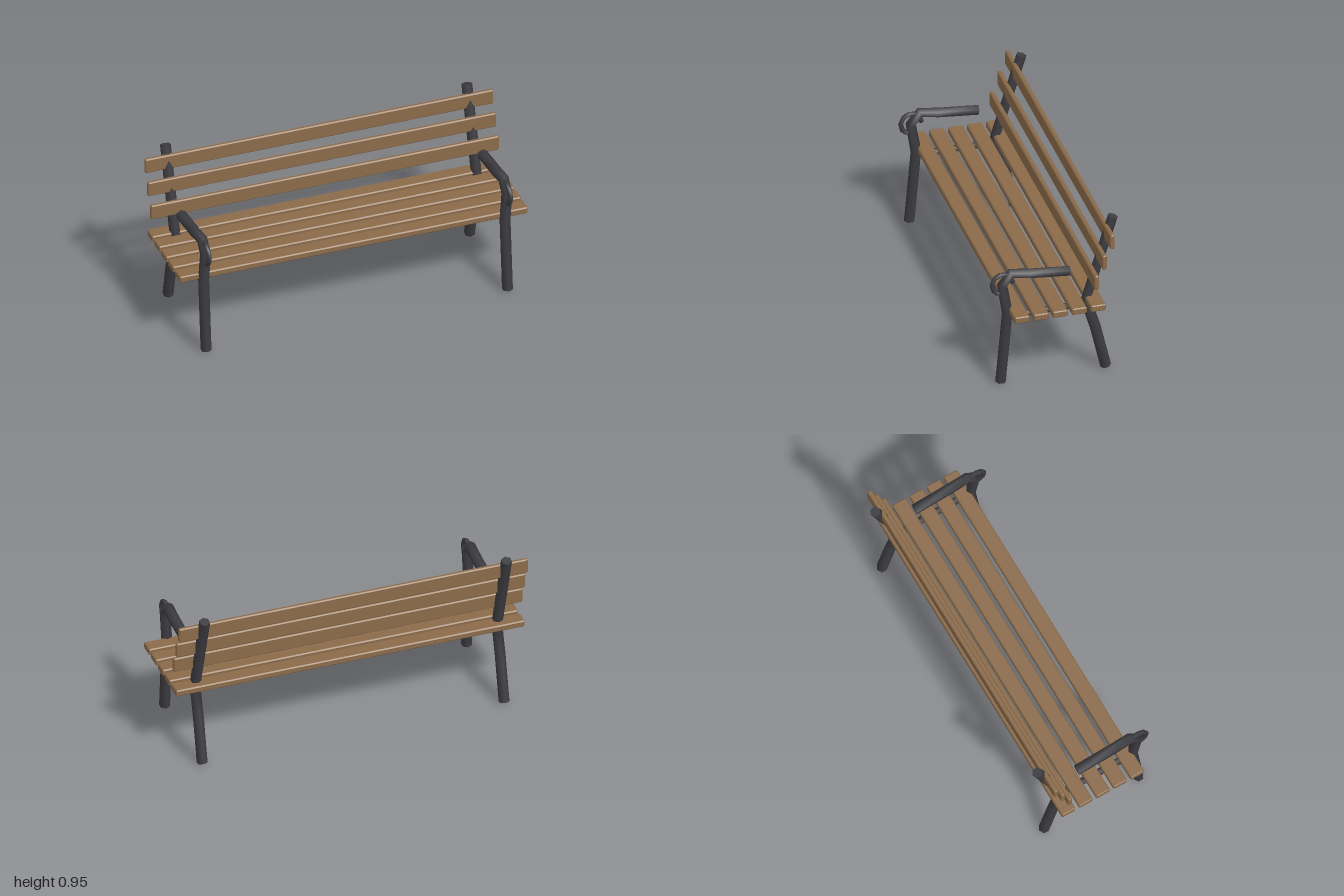
import * as THREE from 'three';

const SIDES = 6;

// Six-sided bar swept along [z, y] points, with capped ends
function bar(path, radius) {
  const pts = path.map(([z, y]) => new THREE.Vector3(0, y, z));
  const last = pts.length - 1;
  const pos = [], index = [];
  const direction = (i) => pts[i + 1].clone().sub(pts[i]).normalize();

  const addRing = (i) => {
    const t = direction(Math.min(i, last - 1)).add(direction(Math.max(i - 1, 0))).normalize();
    const start = pos.length / 3;
    for (let j = 0; j < SIDES; j++) {
      const a = (j / SIDES) * Math.PI * 2;
      const n = Math.cos(a) * radius;
      pos.push(Math.sin(a) * radius, pts[i].y - t.z * n, pts[i].z + t.y * n);
    }
    return start;
  };

  // Side walls
  const rings = pts.map((_, i) => addRing(i));
  for (let i = 0; i < last; i++) {
    for (let j = 0; j < SIDES; j++) {
      const k = (j + 1) % SIDES;
      const a = rings[i] + j, b = rings[i] + k;
      const c = rings[i + 1] + j, d = rings[i + 1] + k;
      index.push(a, b, c, b, d, c);
    }
  }
  // End caps with their own vertices, so the rims stay sharp
  for (const i of [0, last]) {
    const s = addRing(i);
    for (let j = 1; j < SIDES - 1; j++) {
      if (i === 0) index.push(s, s + j + 1, s + j);
      else index.push(s, s + j, s + j + 1);
    }
  }

  const geo = new THREE.BufferGeometry();
  geo.setAttribute('position', new THREE.Float32BufferAttribute(pos, 3));
  geo.setIndex(index);
  geo.computeVertexNormals();
  return geo;
}

// Plank along x with small chamfers on every edge
function plank(length, height, depth, c = 0.005) {
  const w = depth / 2 - c, h = height / 2 - c, k = c * 0.6;
  const shape = new THREE.Shape([
    [-w + k, -h], [w - k, -h], [w, -h + k], [w, h - k],
    [w - k, h], [-w + k, h], [-w, h - k], [-w, -h + k],
  ].map(([x, y]) => new THREE.Vector2(x, y)));
  const geo = new THREE.ExtrudeGeometry(shape, {
    depth: length - 2 * c, bevelEnabled: true, bevelSegments: 1, bevelSize: c, bevelThickness: c,
  });
  geo.translate(0, 0, -length / 2 + c);
  geo.rotateY(Math.PI / 2);
  return geo;
}

export function createModel() {
  const bench = new THREE.Group();
  bench.name = 'bench';

  const wood = new THREE.MeshStandardMaterial({ color: 0x8b6b4a });
  wood.name = 'wood';
  const iron = new THREE.MeshStandardMaterial({ color: 0x3c3c41 });
  iron.name = 'dark iron';

  const add = (parent, name, geo, mat, x = 0, y = 0, z = 0) => {
    const mesh = new THREE.Mesh(geo, mat);
    mesh.name = name;
    mesh.position.set(x, y, z);
    parent.add(mesh);
  };

  // Iron end frame: paths given as [z, y]
  const parts = {
    frontLegAndArmrest: bar([[0.298, 0.009], [0.26, 0.438], [0.289, 0.615],
      [0.238, 0.68], [0.136, 0.662], [-0.088, 0.64]], 0.03),
    backLegAndBackPost: bar([[-0.293, 0.009], [-0.234, 0.266],
      [-0.18, 0.44], [-0.333, 0.945]], 0.03),
    seatRail: bar([[0.25, 0.419], [-0.175, 0.419]], 0.02),
    armScroll: bar([[0.29, 0.563], [0.316, 0.567], [0.336, 0.586], [0.346, 0.626],
      [0.33, 0.662], [0.298, 0.68], [0.264, 0.676], [0.243, 0.655], [0.228, 0.622]], 0.014),
  };
  for (const side of [1, -1]) {
    const frame = new THREE.Group();
    frame.name = side > 0 ? 'leftFrame' : 'rightFrame';
    frame.position.x = side * 0.866;
    for (const [name, geo] of Object.entries(parts)) add(frame, name, geo, iron);
    bench.add(frame);
  }

  // Seat slats
  const seatSlat = plank(2, 0.038, 0.084);
  for (let i = 0; i < 5; i++) add(bench, 'seatSlat', seatSlat, wood, 0, 0.458, 0.214 - i * 0.107);

  // Back slats, stepping up along the sloping posts
  const backSlat = plank(2, 0.087, 0.025);
  for (let i = 0; i < 3; i++) {
    add(bench, 'backSlat', backSlat, wood, 0, 0.617 + i * 0.122, -0.205 - i * 0.0435);
  }

  return bench;
}
